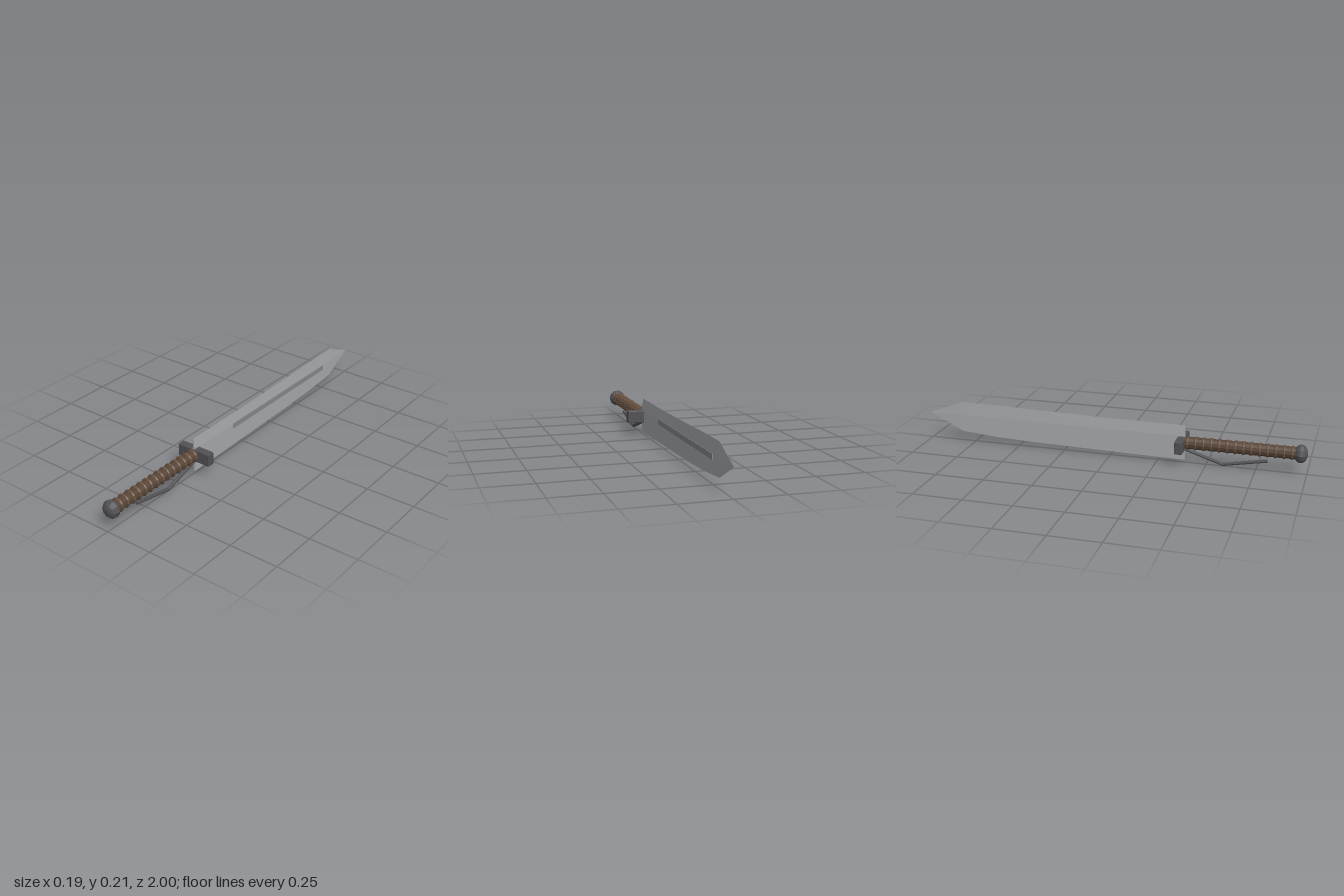
import * as THREE from 'three';
import { RoundedBoxGeometry } from 'three/addons/geometries/RoundedBoxGeometry.js';

const material = (name, color, side = THREE.FrontSide) => {
  const m = new THREE.MeshStandardMaterial({ color, side, flatShading: true });
  m.name = name;
  return m;
};

// Blade lofted from five-sided sections: sharp top edge, ridge, flat spine below
function bladeGeometry() {
  // z, bottom y, top y, half thickness
  const stations = [
    [0.39, 0.016, 0.199, 0.0055],
    [0, 0.022, 0.2, 0.0053],
    [-0.4, 0.029, 0.207, 0.005],
    [-0.62, 0.037, 0.213, 0.0045],
    [-0.82, 0.053, 0.214, 0.004],
    [-1, 0.141, 0.143, 0.0005],
  ];
  const ridge = 0.142;
  const pos = [], index = [];
  for (const [z, b, t, w] of stations) {
    pos.push(0, t, z, -w, ridge, z, -w, b, z, w, b, z, w, ridge, z);
  }
  for (let s = 0; s < stations.length - 1; s++) {
    for (let i = 0; i < 5; i++) {
      const a = s * 5 + i, b = s * 5 + (i + 1) % 5;
      index.push(a, a + 5, b, b, a + 5, b + 5);
    }
  }
  const last = (stations.length - 1) * 5;
  for (let i = 1; i < 4; i++) {
    index.push(0, i, i + 1, last, last + i + 1, last + i);
  }
  const g = new THREE.BufferGeometry();
  g.setAttribute('position', new THREE.Float32BufferAttribute(pos, 3));
  g.setIndex(index);
  g.computeVertexNormals();
  return g;
}

export function createModel() {
  const group = new THREE.Group();
  const steel = material('blade steel', 0xa6a8ab, THREE.DoubleSide);
  const groove = material('groove grey', 0x858789);
  const iron = material('dark iron', 0x525255);
  const leather = material('brown leather', 0x57432f);
  leather.color.set(0x574436);
  const cord = material('cord brown', 0x66503f);

  const add = (name, geometry, mat, x = 0, y = 0, z = 0, parent = group) => {
    const mesh = new THREE.Mesh(geometry, mat);
    mesh.name = name;
    mesh.position.set(x, y, z);
    parent.add(mesh);
    return mesh;
  };

  // Blade with a groove strip on its left face only
  add('blade', bladeGeometry(), steel);
  add('bladeGroove', new THREE.BoxGeometry(0.004, 0.028, 0.835), groove, 0.0052, 0.129, -0.3325);

  // Cross guard
  add('crossGuard', new RoundedBoxGeometry(0.188, 0.066, 0.04, 1, 0.004), iron, 0, 0.106, 0.373);

  // Grip core with raised wrap rings
  const handle = new THREE.Group();
  handle.name = 'handle';
  group.add(handle);
  const core = new THREE.CylinderGeometry(0.031, 0.031, 0.57, 12).rotateX(Math.PI / 2);
  add('gripCore', core, leather, 0, 0.108, 0.665, handle);
  const ring = new THREE.TorusGeometry(0.029, 0.0075, 6, 12);
  for (let i = 0; i < 14; i++) {
    add('wrapRing', ring, cord, 0, 0.108, 0.405 + i * 0.04, handle);
  }

  // Faceted, flattened pommel
  const knob = new THREE.SphereGeometry(0.046, 10, 8).rotateX(Math.PI / 2).scale(1, 1, 0.74);
  add('pommel', knob, iron, 0, 0.107, 0.966);

  // Bent finger guard below the grip
  const bar = [[0.074, 0.385], [0.011, 0.585], [0.052, 0.805]]
    .map(([y, z]) => new THREE.Vector3(0, y, z));
  for (let i = 0; i < 2; i++) {
    const dir = bar[i + 1].clone().sub(bar[i]);
    const rod = add('fingerGuardBar', new THREE.CylinderGeometry(0.009, 0.009, dir.length(), 8), iron);
    rod.position.copy(bar[i]).addScaledVector(dir, 0.5);
    rod.quaternion.setFromUnitVectors(new THREE.Vector3(0, 1, 0), dir.normalize());
  }
  add('fingerGuardJoint', new THREE.SphereGeometry(0.009, 8, 6), iron, 0, bar[1].y, bar[1].z);

  return group;
}
